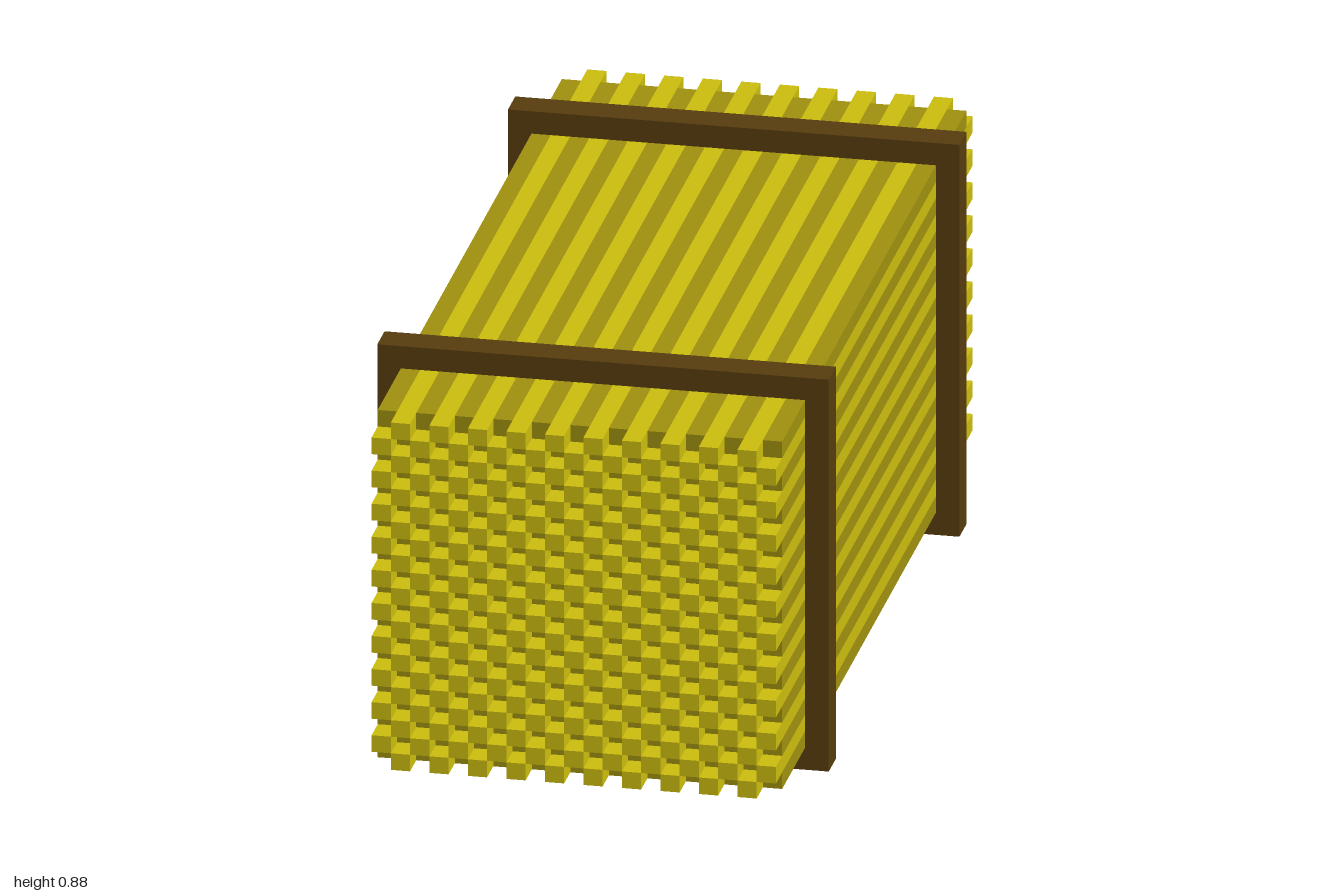
import * as THREE from 'three';
import { mergeGeometries } from 'three/addons/utils/BufferGeometryUtils.js';

const COUNT = 21;                       // sticks per row and per column
const X0 = -0.43, Y0 = 0.05;            // lower corner of the bundle
const W = 0.86 / COUNT, H = 0.78 / COUNT;

function material(color) {
  return new THREE.MeshStandardMaterial({ color, flatShading: true });
}

// Every second stick of the checkerboard, merged into one mesh
function sticks(name, parity, length, color) {
  const boxes = [];
  for (let i = 0; i < COUNT; i++) {
    for (let j = 0; j < COUNT; j++) {
      if ((i + j) % 2 !== parity) continue;
      boxes.push(new THREE.BoxGeometry(W, H, length)
        .translate(X0 + (i + 0.5) * W, Y0 + (j + 0.5) * H, 0));
    }
  }
  const mesh = new THREE.Mesh(mergeGeometries(boxes), material(color));
  mesh.name = name;
  return mesh;
}

function rectangle(path, x, y0, y1) {
  path.moveTo(-x, y0);
  path.lineTo(x, y0);
  path.lineTo(x, y1);
  path.lineTo(-x, y1);
  path.closePath();
  return path;
}

export function createModel() {
  const group = new THREE.Group();
  group.name = 'stickBundle';

  // Long light sticks stand proud of the shorter dark ones at both ends
  group.add(sticks('longSticks', 1, 2, 0xcabb0e));
  group.add(sticks('shortSticks', 0, 1.874, 0x9e900f));

  // Two square bands holding the bundle
  const frame = rectangle(new THREE.Shape(), 0.48, 0, 0.88);
  frame.holes.push(rectangle(new THREE.Path(), 0.43, 0.05, 0.83));
  const bandGeometry = new THREE.ExtrudeGeometry(frame, { depth: 0.074, bevelEnabled: false })
    .translate(0, 0, -0.037);
  const bandMaterial = material(0x563c0e);
  for (const [name, z] of [['frontBand', 0.665], ['backBand', -0.665]]) {
    const band = new THREE.Mesh(bandGeometry, bandMaterial);
    band.name = name;
    band.position.z = z;
    group.add(band);
  }
  return group;
}
